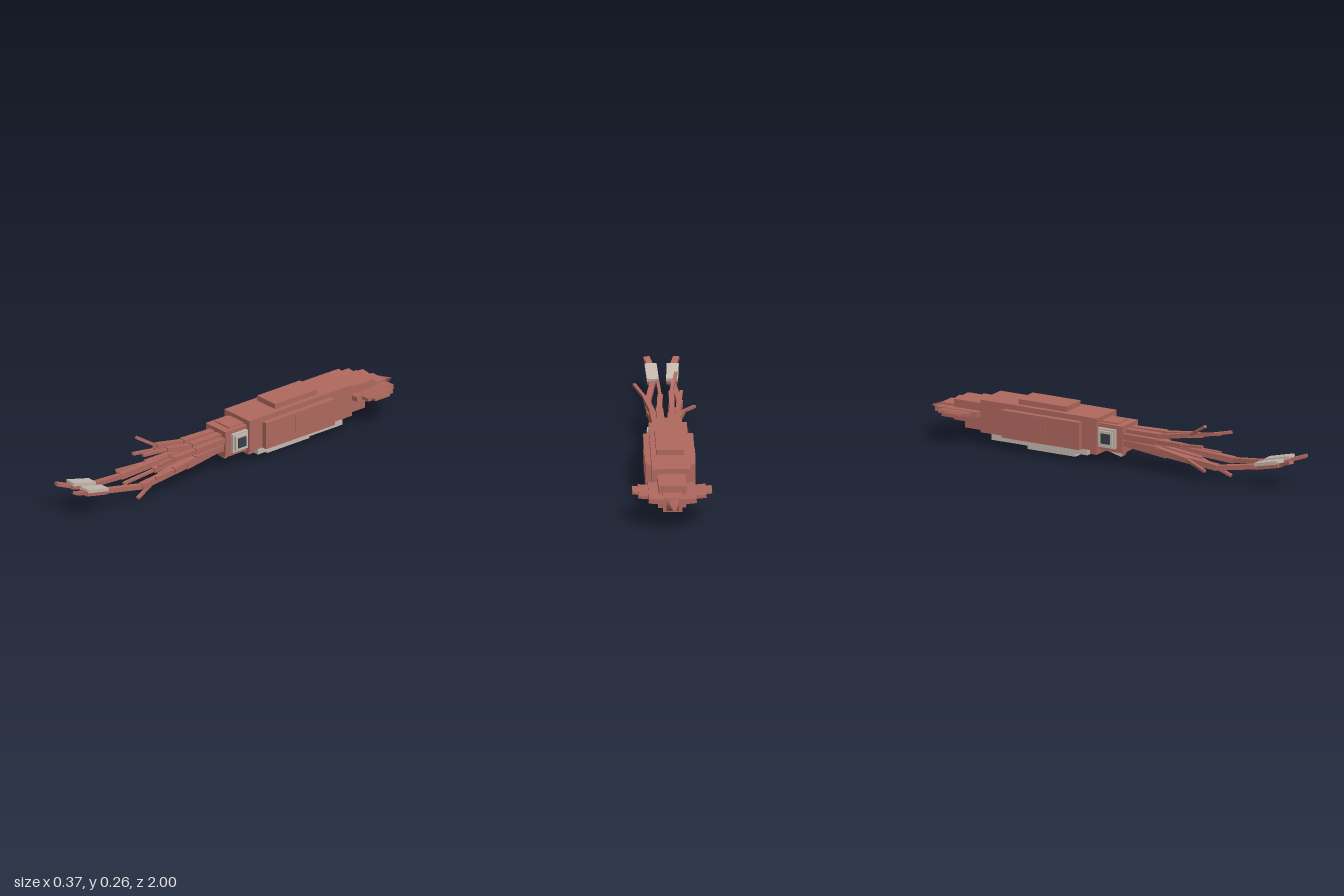
import * as THREE from 'three';

export function createModel() {
  const root = new THREE.Group();
  root.name = 'squid';
  const mat = (name, color) => {
    const m = new THREE.MeshStandardMaterial({ color });
    m.name = name;
    return m;
  };
  const red = mat('skin red', 0xb0695f);
  const pale = mat('pale belly', 0xc6bab0);
  const dark = mat('pupil dark', 0x3a3e47);

  // Box given by its lower and upper corner
  function box(name, m, [x0, y0, z0], [x1, y1, z1], parent = root) {
    const mesh = new THREE.Mesh(new THREE.BoxGeometry(x1 - x0, y1 - y0, z1 - z0), m);
    mesh.position.set((x0 + x1) / 2, (y0 + y1) / 2, (z0 + z1) / 2);
    mesh.name = name;
    parent.add(mesh);
    return mesh;
  }
  // Box centred on x, given by half width
  const slab = (name, m, hw, y0, y1, z0, z1) => box(name, m, [-hw, y0, z0], [hw, y1, z1]);

  // Box running from point a to point b
  function bar(name, m, a, b, w, h, parent, lift = 0) {
    const p = new THREE.Vector3(...a), q = new THREE.Vector3(...b);
    const mesh = new THREE.Mesh(new THREE.BoxGeometry(w, h, p.distanceTo(q)), m);
    mesh.geometry.translate(0, lift, 0);
    mesh.position.copy(p).add(q).multiplyScalar(0.5);
    mesh.lookAt(q);
    mesh.name = name;
    parent.add(mesh);
  }

  // Mantle, stepped in layers
  slab('mantleRidge', red, 0.065, 0.2, 0.25, -0.49, -0.23);
  slab('mantleUpper', red, 0.09, 0.067, 0.225, -0.68, -0.05);
  slab('mantleSides', red, 0.117, 0.067, 0.2, -0.55, -0.13);
  slab('mantleRear', red, 0.065, 0.07, 0.2, -0.78, -0.6);
  slab('mantleCollar', red, 0.065, 0.041, 0.1, -0.1, -0.065);
  slab('tailTop', red, 0.065, 0.1, 0.2, -0.84, -0.7);
  slab('tailBlock', red, 0.045, 0.1, 0.168, -0.92, -0.8);
  slab('sidePatch', red, 0.12, 0.1, 0.19, -0.39, -0.31);
  slab('bellyUpper', pale, 0.092, 0.04, 0.067, -0.62, -0.1);
  slab('bellyLower', pale, 0.065, 0.015, 0.04, -0.44, -0.18);

  // Pointed tail tip
  const tip = new THREE.Mesh(new THREE.ConeGeometry(0.043, 0.085, 4, 1).rotateY(Math.PI / 4), red);
  tip.geometry.rotateX(-Math.PI / 2);
  tip.position.set(0, 0.135, -0.9575);
  tip.name = 'tailTip';
  root.add(tip);

  // Head
  slab('head', red, 0.07, 0.07, 0.2, -0.06, 0.08);
  slab('headCrown', red, 0.05, 0.19, 0.206, -0.06, 0.04);

  for (const s of [1, -1]) {
    const side = s > 0 ? 'left' : 'right';
    // Eye
    const eye = new THREE.Group();
    eye.name = side + 'Eye';
    root.add(eye);
    const eyeBox = (name, m, x0, x1, hy, hz) =>
      box(name, m, [Math.min(s * x0, s * x1), 0.135 - hy, -hz], [Math.max(s * x0, s * x1), 0.135 + hy, hz], eye);
    eyeBox('eyeRim', pale, 0.06, 0.085, 0.046, 0.046);
    eyeBox('eyeball', pale, 0.08, 0.094, 0.036, 0.036);
    eyeBox('pupil', dark, 0.09, 0.1, 0.024, 0.024);

    // Fin, stepped plates rising a little outwards
    const fin = new THREE.Group();
    fin.name = side + 'Fin';
    fin.position.set(s * 0.04, 0.147, 0);
    fin.rotation.z = s * 0.1;
    root.add(fin);
    [[0.072, 0.012, -0.915, -0.69], [0.12, 0.008, -0.87, -0.72], [0.147, 0.005, -0.83, -0.74]]
      .forEach(([x, h, z0, z1], i) =>
        box('finPlate' + i, red, [s > 0 ? 0 : -x, -h, z0], [s > 0 ? x : 0, h, z1], fin));

    // Long feeding tentacle with its club
    const tentacle = new THREE.Group();
    tentacle.name = side + 'Tentacle';
    root.add(tentacle);
    const pts = [[0.035, 0.12, 0.06], [0.06, 0.1, 0.32], [0.075, 0.08, 0.6], [0.045, 0.107, 0.8],
      [0.052, 0.137, 0.93], [0.07, 0.16, 0.997]].map(([x, y, z]) => [s * x, y, z]);
    const sizes = [[0.035, 0.035], [0.03, 0.028], [0.026, 0.022], [0.05, 0.022], [0.03, 0.014]];
    sizes.forEach(([w, h], i) => bar('tentaclePart' + i, red, pts[i], pts[i + 1], w, h, tentacle));
    bar('clubPad', pale, pts[3], pts[4], 0.056, 0.016, tentacle, 0.014);
  }

  // Siphon under the head
  const siphon = new THREE.Group();
  siphon.name = 'siphon';
  root.add(siphon);
  bar('siphonTube', pale, [0, 0.075, -0.05], [0, 0.05, 0.045], 0.044, 0.028, siphon);
  bar('siphonMouth', red, [0, 0.05, 0.045], [0, 0.0495, 0.048], 0.026, 0.016, siphon);

  // Eight short arms: knee, bend and tip of each
  const arms = [
    [[-0.03, 0.17, 0.26], [-0.03, 0.2, 0.42], [-0.055, 0.262, 0.52]],
    [[0.03, 0.17, 0.26], [0.022, 0.19, 0.4], [0.03, 0.208, 0.55]],
    [[0.06, 0.155, 0.26], [0.09, 0.17, 0.42], [0.14, 0.192, 0.55]],
    [[-0.055, 0.15, 0.26], [-0.07, 0.157, 0.4], [-0.08, 0.168, 0.52]],
    [[-0.055, 0.115, 0.26], [-0.085, 0.096, 0.44], [-0.143, 0.073, 0.57]],
    [[0.055, 0.115, 0.26], [0.075, 0.105, 0.4], [0.085, 0.1, 0.52]],
    [[0.022, 0.1, 0.26], [0.028, 0.075, 0.45], [0.05, 0.009, 0.6]],
    [[-0.02, 0.1, 0.26], [-0.025, 0.08, 0.44], [-0.03, 0.062, 0.62]],
  ];
  arms.forEach((path, i) => {
    const arm = new THREE.Group();
    arm.name = 'arm' + (i + 1);
    root.add(arm);
    const [kx, ky] = path[0];
    const pts = [[kx * 0.8, 0.135 + (ky - 0.135) * 0.9, 0.06], ...path];
    [0.034, 0.025, 0.015].forEach((w, j) => bar('armPart' + j, red, pts[j], pts[j + 1], w, w * 0.85, arm));
  });

  return root;
}
